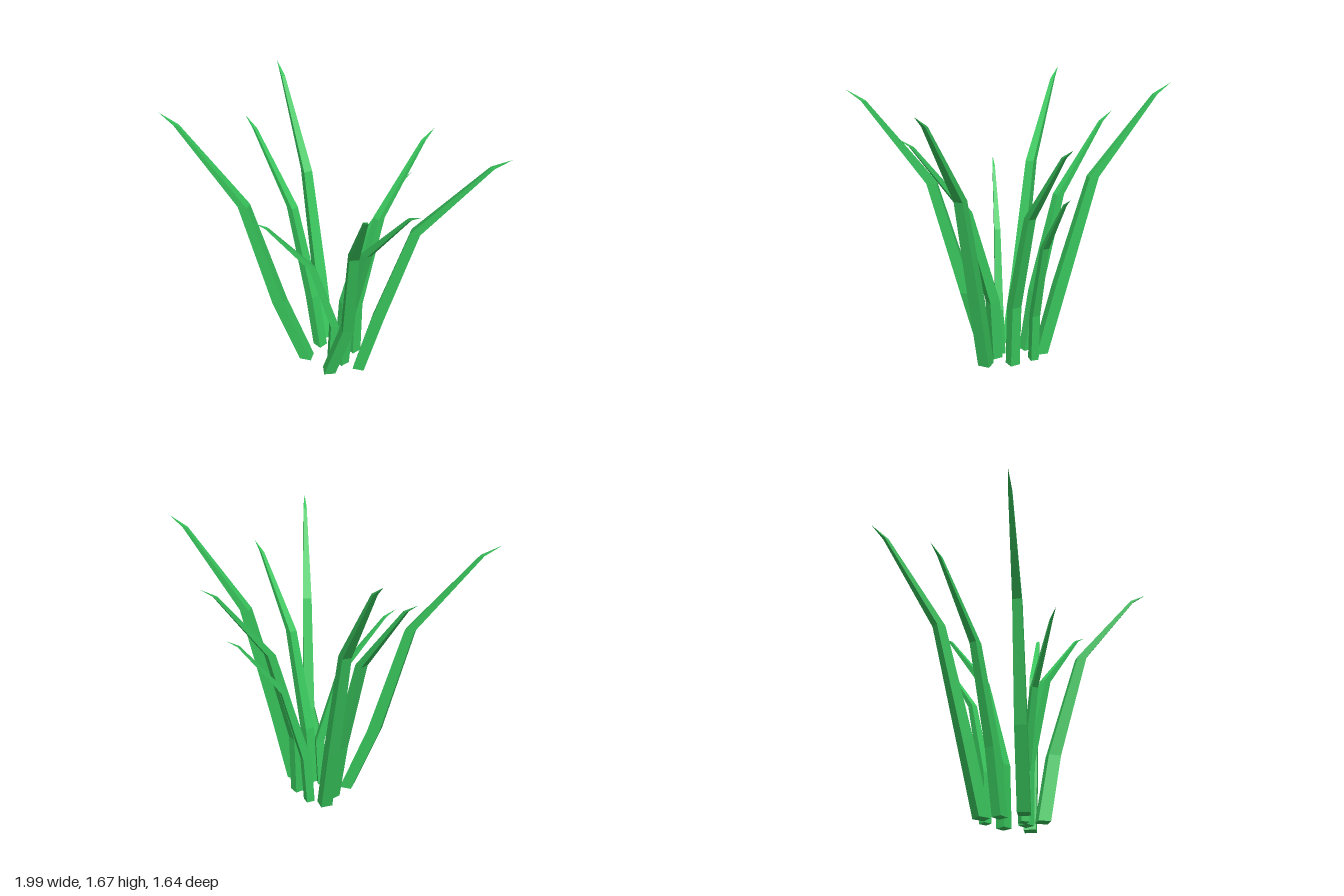
import * as THREE from 'three';

// Blade sections from root to shoulder: height, distance in from the tip, depth, width (full-size blade)
const SECTIONS = [
  [0, 0, 0.074, 0.072],
  [0.44, 0.675, 0.076, 0.07],
  [1.125, 0.478, 0.058, 0.054],
  [1.605, 0.1, 0.024, 0.022],
];
const FULL_HEIGHT = 1.67;

// Each blade: height, tip [x, z], lean direction [x, z], root [x, z]
const BLADES = [
  { name: 'tallBladeRight', height: 1.67, tip: [-1.0, 0.042], lean: [-1, 0], root: [-0.152, 0.04] },
  { name: 'tallBladeLeft', height: 1.67, tip: [0.99, 0.045], lean: [1, 0], root: [0.205, 0.042] },
  { name: 'tallBladeBack', height: 1.67, tip: [-0.58, -0.825], lean: [-0.623, -0.782], root: [-0.085, -0.205] },
  { name: 'tallBladeFront', height: 1.67, tip: [0.405, 0.815], lean: [0.366, 0.931], root: [0.025, 0.13] },
  { name: 'middleBladeRight', height: 1.46, tip: [-0.667, -0.442], lean: [-0.856, -0.518], root: [-0.1, -0.1] },
  { name: 'middleBladeBack', height: 1.46, tip: [0.487, -0.587], lean: [0.6, -0.8], root: [0.13, -0.105] },
  { name: 'middleBladeFront', height: 1.46, tip: [0.587, 0.388], lean: [0.8, 0.6], root: [0.085, 0.03] },
  { name: 'shortBladeFront', height: 1.16, tip: [-0.382, 0.252], lean: [-0.88, 0.475], root: [0.015, 0.022] },
  { name: 'shortBladeBack', height: 1.16, tip: [0.372, -0.537], lean: [0.717, -0.697], root: [0.02, -0.198] },
];

// Four-sided bent blade tapering to a point
function bladeGeometry({ height, tip, lean, root }) {
  const s = height / FULL_HEIGHT;
  const [dx, dz] = lean;
  const corners = [[-1, -1], [1, -1], [1, 1], [-1, 1]];
  const rings = SECTIONS.map(([y, inset, depth, width], i) => {
    const cx = i === 0 ? root[0] : tip[0] - dx * inset * s;
    const cz = i === 0 ? root[1] : tip[1] - dz * inset * s;
    return corners.map(([u, v]) => {
      const a = (u * depth * s) / 2;
      const b = (v * width * s) / 2;
      return [cx + dx * a + dz * b, y * s, cz + dz * a - dx * b];
    });
  });
  const point = [tip[0], height, tip[1]];

  const positions = [];
  const tri = (a, b, c) => positions.push(...a, ...b, ...c);
  const quad = (a, b, c, d) => { tri(a, b, c); tri(a, c, d); };

  // Sides, pointed tip and root cap
  for (let k = 0; k < 4; k++) {
    const n = (k + 1) % 4;
    for (let i = 0; i < rings.length - 1; i++) {
      quad(rings[i][k], rings[i][n], rings[i + 1][n], rings[i + 1][k]);
    }
    const last = rings[rings.length - 1];
    tri(last[k], last[n], point);
  }
  const [a, b, c, d] = rings[0];
  quad(d, c, b, a);

  const geometry = new THREE.BufferGeometry();
  geometry.setAttribute('position', new THREE.Float32BufferAttribute(positions, 3));
  geometry.computeVertexNormals();
  return geometry;
}

export function createModel() {
  const group = new THREE.Group();
  group.name = 'grassTuft';
  const leafGreen = new THREE.MeshStandardMaterial({ color: 0x38c55c });
  leafGreen.name = 'leafGreen';
  leafGreen.flatShading = true;

  for (const blade of BLADES) {
    const mesh = new THREE.Mesh(bladeGeometry(blade), leafGreen);
    mesh.name = blade.name;
    group.add(mesh);
  }
  return group;
}
